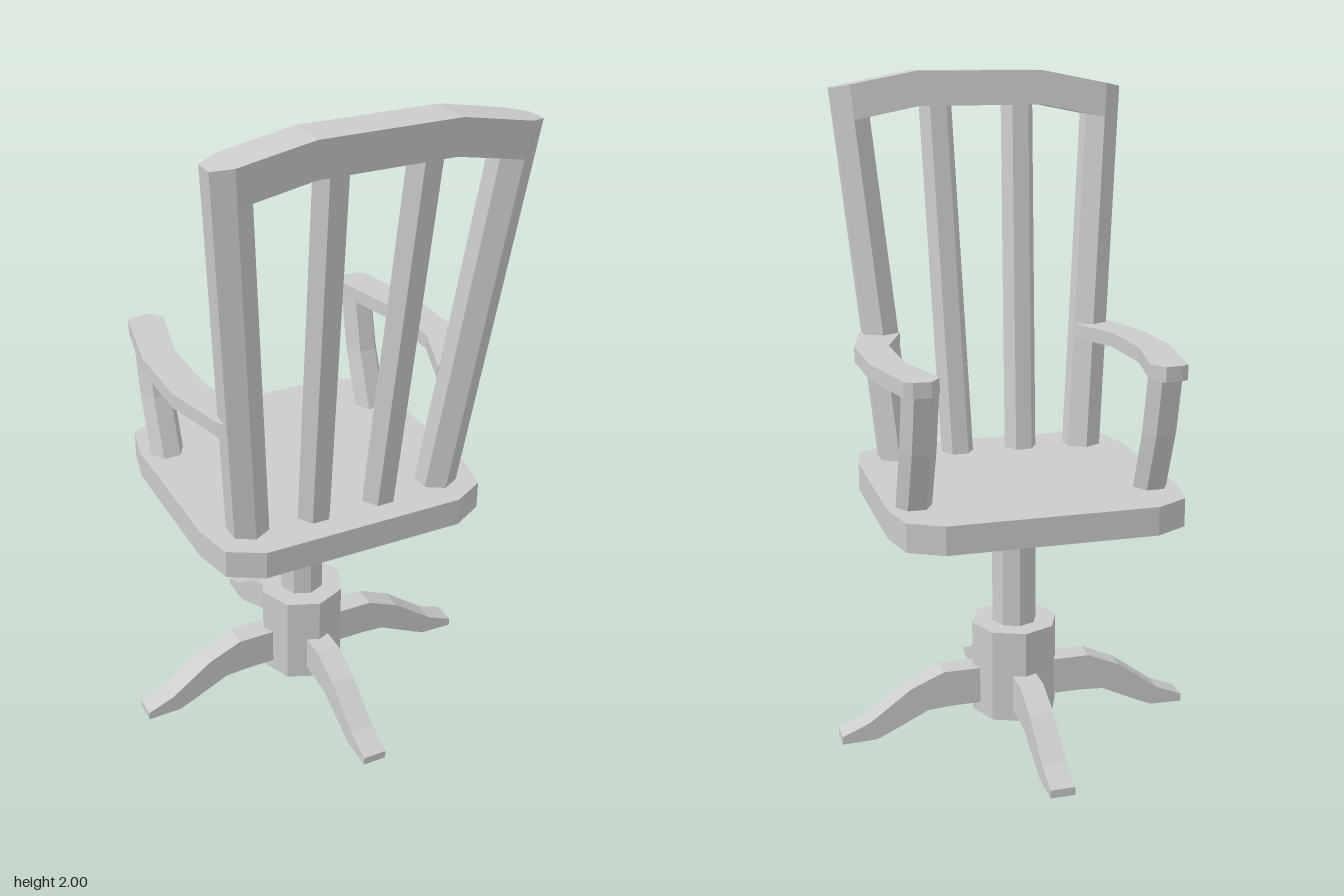
import * as THREE from 'three';

const material = new THREE.MeshStandardMaterial({ color: 0xcccccc, flatShading: true });

function add(parent, name, geometry) {
  const mesh = new THREE.Mesh(geometry, material);
  mesh.name = name;
  parent.add(mesh);
  return mesh;
}

// Skin a list of rings (arrays of [x, y, z]) and cap both ends
function loft(rings) {
  const pos = [];
  const tri = (a, b, c) => pos.push(...a, ...b, ...c);
  const n = rings[0].length;
  for (let r = 0; r < rings.length - 1; r++) {
    const a = rings[r], b = rings[r + 1];
    for (let i = 0; i < n; i++) {
      const j = (i + 1) % n;
      tri(a[i], b[i], b[j]);
      tri(a[i], b[j], a[j]);
    }
  }
  const first = rings[0], last = rings[rings.length - 1];
  for (let i = 1; i < n - 1; i++) {
    tri(first[0], first[i], first[i + 1]);
    tri(last[0], last[i + 1], last[i]);
  }
  const g = new THREE.BufferGeometry();
  g.setAttribute('position', new THREE.Float32BufferAttribute(pos, 3));
  g.computeVertexNormals();
  return g;
}

// Six-sided bar through centre points, with level cross-sections
function hexBar(points, radius, turn = 0) {
  return loft(points.map(([x, y, z]) => Array.from({ length: 6 }, (_, i) => {
    const a = turn + (i * Math.PI) / 3;
    return [x + radius * Math.cos(a), y, z + radius * Math.sin(a)];
  })));
}

// Flat slab from a plan outline of [x, z] points
function slab(outline, y, height) {
  const shape = new THREE.Shape(outline.map(([x, z]) => new THREE.Vector2(x, -z)));
  const g = new THREE.ExtrudeGeometry(shape, { depth: height, bevelEnabled: false });
  return g.rotateX(-Math.PI / 2).translate(0, y, 0);
}

export function createModel() {
  const chair = new THREE.Group();
  chair.name = 'swivelChair';

  // Pedestal: octagonal column and hub
  add(chair, 'column', new THREE.CylinderGeometry(0.07, 0.07, 0.42, 8).translate(0, 0.53, 0));
  add(chair, 'hub', new THREE.CylinderGeometry(0.135, 0.135, 0.29, 8).translate(0, 0.195, 0));

  // Four curved feet, the front and back pair set slightly further in
  const footProfile = [
    [0.1, 0.2], [0.235, 0.2], [0.34, 0.155], [0.47, 0.06], [0.555, 0.025], [0.555, 0],
    [0.45, 0.003], [0.41, 0.02], [0.285, 0.08], [0.21, 0.085], [0.1, 0.085],
  ].map(([x, y]) => new THREE.Vector2(x, y));
  for (let k = 0; k < 4; k++) {
    const g = new THREE.ExtrudeGeometry(new THREE.Shape(footProfile), { depth: 0.074, bevelEnabled: false });
    g.translate(k % 2 ? -0.04 : 0, 0, -0.037).rotateY((k * Math.PI) / 2);
    add(chair, 'foot', g);
  }

  // Seat with clipped corners
  const corner = [[0.31, 0.42], [0.41, 0.365], [0.437, 0.24]];
  const half = [...corner, ...corner.map(([x, z]) => [x, -z]).reverse()];
  add(chair, 'seat', slab([...half, ...half.map(([x, z]) => [-x, z]).reverse()], 0.725, 0.085));

  // Back posts, spindles, arms and arm supports on both sides
  const armOutline = [
    [0.408, -0.362], [0.385, -0.376], [0.335, -0.38], [0.303, -0.335], [0.355, -0.11],
    [0.355, 0.12], [0.285, 0.305], [0.39, 0.365], [0.41, 0.33], [0.458, 0.13], [0.458, -0.1],
  ];
  for (const s of [1, -1]) {
    const side = new THREE.Group();
    side.name = s > 0 ? 'leftSide' : 'rightSide';
    chair.add(side);
    add(side, 'backPost', hexBar([[s * 0.307, 0.8, 0.284], [s * 0.409, 1.95, 0.433]], 0.062, Math.PI / 6));
    add(side, 'spindle', hexBar([[s * 0.105, 0.8, 0.299], [s * 0.133, 1.93, 0.444]], 0.052));
    add(side, 'arm', slab(armOutline.map(([x, z]) => [s * x, z]), 1.16, 0.045));
    add(side, 'armSupport', hexBar(
      [[s * 0.357, 0.8, -0.215], [s * 0.356, 0.99, -0.285], [s * 0.355, 1.17, -0.325]], 0.053));
  }

  // Leaning top rail: [x, height of top edge, half depth] at each station
  const stations = [[-0.463, 1.95, 0.031], [-0.409, 1.96, 0.062], [-0.2, 2, 0.062],
    [0.2, 2, 0.062], [0.409, 1.96, 0.062], [0.463, 1.95, 0.031]];
  add(chair, 'topRail', loft(stations.map(([x, top, d]) => {
    const at = (y, dz) => [x * (1 + 0.2 * (y - top)), y, 0.433 + 0.13 * (y - 1.95) + dz];
    const low = top - 0.105;
    return [at(low, d), at(top, d), at(top, -d), at(low, -d)];
  })));

  return chair;
}
